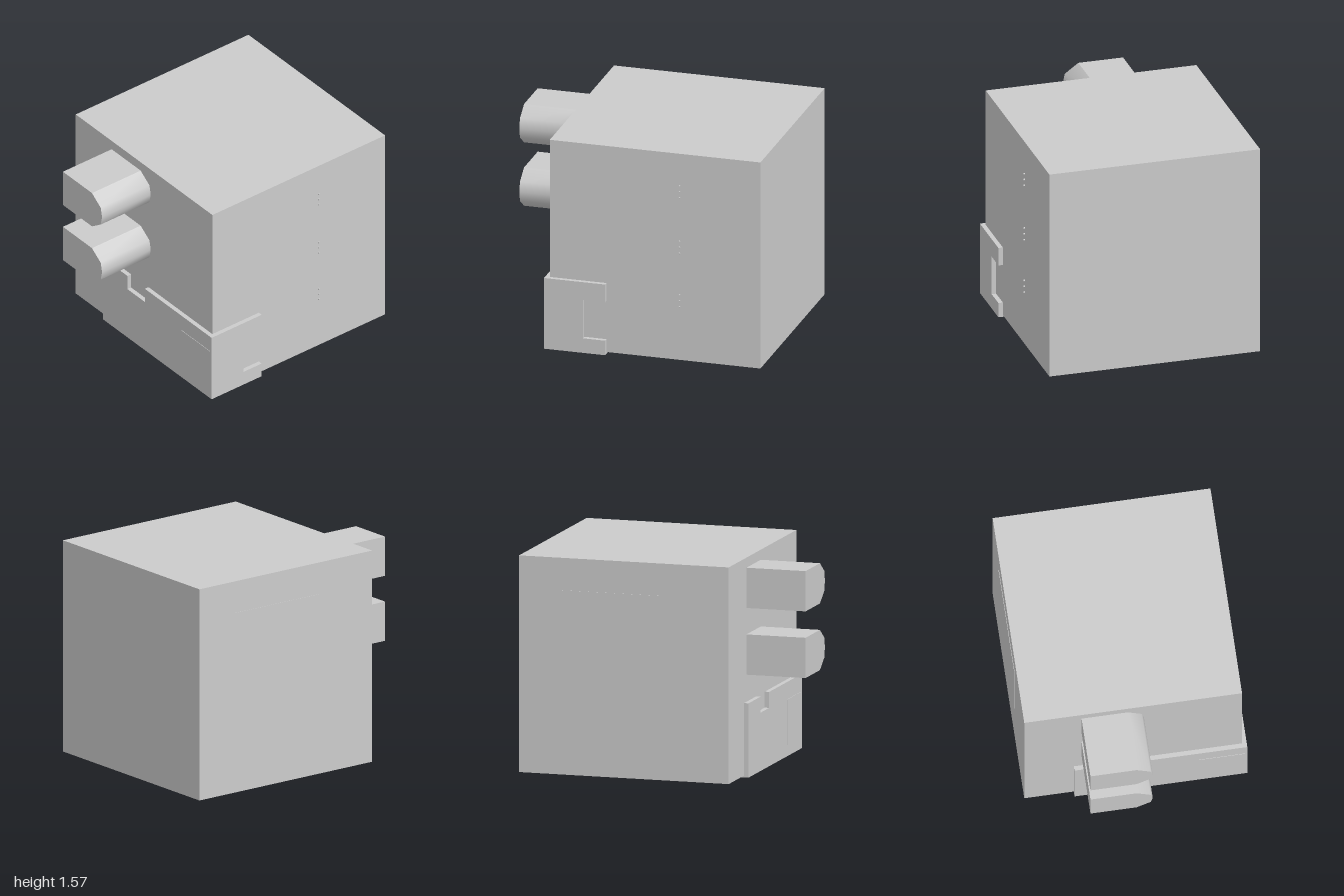
import * as THREE from 'three';
import { toCreasedNormals } from 'three/addons/utils/BufferGeometryUtils.js';

const grey = new THREE.MeshStandardMaterial({ color: 0xcccccc });

export function createModel() {
  const model = new THREE.Group();

  const add = (name, geometry) => {
    const mesh = new THREE.Mesh(geometry, grey);
    mesh.name = name;
    model.add(mesh);
    return mesh;
  };

  // Box given by its two opposite corners
  const addBox = (name, [x0, y0, z0], [x1, y1, z1]) => {
    const geometry = new THREE.BoxGeometry(x1 - x0, y1 - y0, z1 - z0);
    return add(name, geometry.translate((x0 + x1) / 2, (y0 + y1) / 2, (z0 + z1) / 2));
  };

  const extrude = (points, depth) => new THREE.ExtrudeGeometry(
    new THREE.Shape(points.map(([x, y]) => new THREE.Vector2(x, y))),
    { depth, bevelEnabled: false });

  // Main cube
  const [left, right, bottom, top, back, front] = [-0.796, 0.763, 0.013, 1.573, -1, 0.56];
  addBox('body', [left, bottom, back], [right, top, front]);

  // Corner bracket: front, side and underside plates
  const plateFront = 0.593, plateSide = 0.796, plateTop = 0.535, plateBack = 0.14;
  const frontPlate = extrude([
    [-0.441, 0], [plateSide, 0], [plateSide, plateTop], [0.035, plateTop],
    [0.035, 0.42], [-0.165, 0.42], [-0.165, plateTop], [-0.441, plateTop],
  ], plateFront - front);
  add('frontPlate', frontPlate.translate(0, 0, front));

  // Drawn with -z along the shape's x, then turned onto the side
  const sidePlate = extrude([
    [-front, 0], [-plateBack, 0], [-plateBack, 0.11], [-0.305, 0.11],
    [-0.305, 0.4], [-plateBack, 0.4], [-plateBack, plateTop], [-front, plateTop],
  ], plateSide - right);
  add('sidePlate', sidePlate.rotateY(Math.PI / 2).translate(right, 0, 0));

  addBox('bottomPlate', [-0.441, 0, plateBack], [right, bottom, front]);

  // Thin panels laid on the bracket and on the cube's side
  addBox('frontPanel', [0.45, 0.08, plateFront], [0.78, 0.41, plateFront + 0.003]);
  addBox('sidePanel', [left - 0.003, 0.57, -0.69], [left, 1.34, 0.08]);

  // Two projecting bars with a rounded nose
  for (const y of [0.875, 1.355]) {
    const h = 0.145, shoulder = -0.055;
    addBox('bar', [-0.386, y - h, front], [shoulder, y + h, 1]);
    const nose = extrude([
      [shoulder, -h], [0.045, -0.073], [0.06, 0], [0.045, 0.073], [shoulder, h],
    ], 1 - front);
    add('barNose', toCreasedNormals(nose, 0.9).translate(0, y, front));
  }

  // Three rows of three small studs on the side
  const stud = new THREE.CylinderGeometry(0.007, 0.007, 0.012, 8).rotateZ(-Math.PI / 2);
  for (const y of [0.46, 0.865, 1.285]) {
    for (const step of [-1, 0, 1]) {
      add('stud', stud).position.set(right + 0.006, y + step * 0.045, -0.4);
    }
  }

  return model;
}
